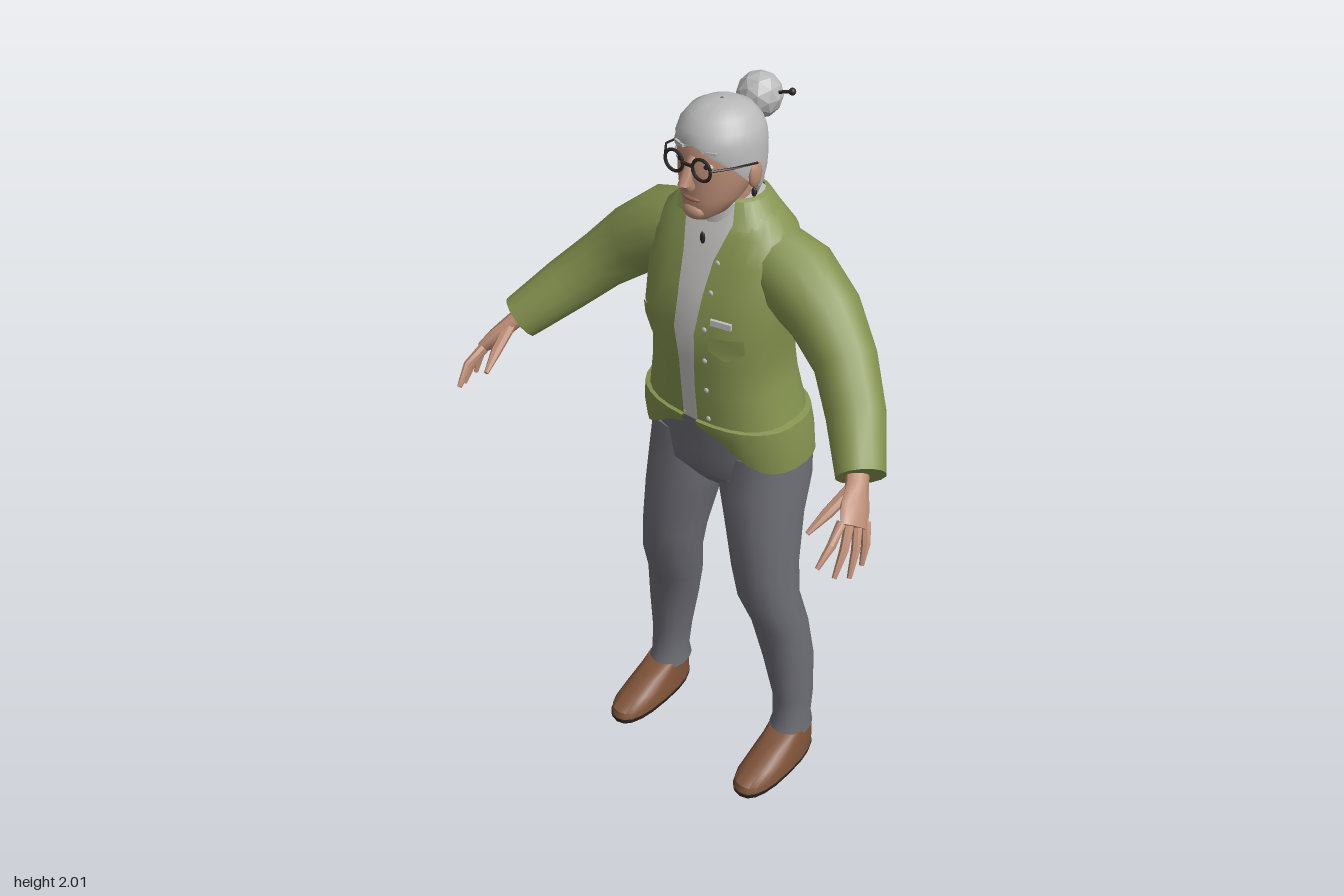
import * as THREE from 'three';
import { toCreasedNormals } from 'three/addons/utils/BufferGeometryUtils.js';

const V = (x, y, z) => new THREE.Vector3(x, y, z);

// Joins rows of points into a surface with softened edges
function skin(rows, crease = 0.6) {
  const n = rows[0].length, index = [];
  for (let i = 0; i < rows.length - 1; i++)
    for (let j = 0; j < n - 1; j++) {
      const a = i * n + j, d = a + n;
      index.push(a, a + 1, d + 1, a, d + 1, d);
    }
  const g = new THREE.BufferGeometry().setFromPoints(rows.flat());
  g.setIndex(index);
  return toCreasedNormals(g, crease);
}

// Level rings [y, centreX, centreZ, radiusX, radiusZ, frontOpeningAngle]
function loft(rings, { n = 20, p = 2, cap = true, crease = 0.6, lift = () => 0 } = {}) {
  const list = [...rings].sort((a, b) => a[0] - b[0]);
  if (cap) {
    const close = ([y, x, z]) => [y, x, z, 0, 0];
    list.unshift(close(list[0]));
    list.push(close(list[list.length - 1]));
  }
  const pow = (v) => Math.sign(v) * Math.abs(v) ** (2 / p);
  return skin(list.map(([y, cx, cz, rx, rz, open = 0], i) =>
    Array.from({ length: n + 1 }, (_, j) => {
      const t = open + (2 * (Math.PI - open) * j) / n;
      return V(cx + rx * pow(Math.sin(t)), y + lift(t, i), cz + rz * pow(Math.cos(t)));
    })), crease);
}

// Limb through points [x, y, z, radius along z, radius across]
function limb(points, n = 10, crease = 0.7) {
  const pts = points.map(([x, y, z]) => V(x, y, z)), last = pts.length - 1;
  const rows = pts.map((c, i) => {
    const t = pts[Math.min(i + 1, last)].clone().sub(pts[Math.max(i - 1, 0)]).normalize();
    const N = V(0, 0, 1).addScaledVector(t, -t.z).normalize(), B = t.clone().cross(N);
    const [, , , rn, rb = rn] = points[i];
    return Array.from({ length: n + 1 }, (_, j) => {
      const a = (2 * Math.PI * j) / n;
      return c.clone().addScaledVector(N, rn * Math.cos(a)).addScaledVector(B, rb * Math.sin(a));
    });
  });
  rows.unshift(rows[0].map(() => pts[0].clone()));
  rows.push(rows[0].map(() => pts[last].clone()));
  return skin(rows, crease);
}

const JACKET = [
  [1.17, 0, -0.115, 0.212, 0.148, 0.06], [1.28, 0, -0.102, 0.185, 0.147, 0.07],
  [1.35, 0, -0.096, 0.178, 0.146, 0.08], [1.45, 0, -0.09, 0.195, 0.15, 0.1],
  [1.55, 0, -0.104, 0.2, 0.137, 0.12], [1.63, 0, -0.115, 0.195, 0.12, 0.16],
  [1.69, 0, -0.123, 0.172, 0.102, 0.28], [1.73, 0, -0.125, 0.128, 0.082, 0.5],
  [1.76, 0, -0.122, 0.09, 0.068, 0.73]];

// Depth of the jacket front at a given place
function frontZ(x, y) {
  const i = Math.max(1, JACKET.findIndex((r) => r[0] >= y));
  const a = JACKET[i - 1], b = JACKET[i], k = (y - a[0]) / (b[0] - a[0]);
  const [cz, rx, rz] = [2, 3, 4].map((m) => a[m] + (b[m] - a[m]) * k);
  return cz + rz * (1 - Math.abs(x / rx) ** 2.5) ** 0.4;
}

export function createModel() {
  const model = new THREE.Group();
  model.name = 'elderWoman';
  const mat = (name, color, extra = {}) => {
    const m = new THREE.MeshStandardMaterial({ color, ...extra });
    m.name = name;
    return m;
  };
  const green = mat('oliveJacket', 0x84924f, { side: THREE.DoubleSide });
  const grey = mat('greyTrousers', 0x6c6c74);
  const skinTone = mat('skin', 0xba8c75);
  const silver = mat('silverHair', 0xb9b9b9, { side: THREE.DoubleSide });
  const white = mat('paleShirt', 0xc2c1be);
  const brown = mat('brownLeather', 0x7f5338);
  const dark = mat('darkTrim', 0x2c2624);
  const lip = mat('lips', 0x95604f);
  const add = (name, geometry, material, x = 0, y = 0, z = 0) => {
    const m = new THREE.Mesh(geometry, material);
    m.name = name;
    m.position.set(x, y, z);
    model.add(m);
    return m;
  };
  const ball = (r, sx, sy, sz) => new THREE.SphereGeometry(r, 12, 8).scale(sx, sy, sz);

  // Jacket body, hem band, collar and shirt
  add('jacketBody', loft(JACKET, { n: 28, p: 2.5, cap: false }), green);
  add('jacketHem', loft([[1.05, 0, -0.13, 0.236, 0.155, 0.06], [1.12, 0, -0.12, 0.234, 0.16, 0.06],
    [1.18, 0, -0.114, 0.225, 0.157, 0.06], [1.185, 0, -0.114, 0.205, 0.14, 0.06]],
  { n: 32, p: 2.4, cap: false, lift: (t, i) => [0.1, 0.048, 0, 0][i] * Math.max(0, Math.cos(t)) ** 6 }), green);
  add('jacketCollar', loft([[1.705, 0, -0.123, 0.15, 0.1, 0.45], [1.765, 0, -0.12, 0.098, 0.075, 0.6],
    [1.77, 0, -0.118, 0.085, 0.066, 0.65]], { cap: false, p: 2.3 }), green);
  add('shirt', loft(JACKET.map(([y, x, z, rx, rz]) => [y, x, z, rx * 0.95, rz * 0.95]), { n: 28, p: 2.5 }), white);
  add('shirtCollar', loft([[1.66, 0, -0.113, 0.085, 0.082], [1.72, 0, -0.105, 0.077, 0.071],
    [1.757, 0, -0.1, 0.07, 0.066]]), white);
  add('pendant', ball(0.01, 0.7, 1.6, 0.5), dark, 0, 1.67, -0.012);

  // Buttons, chest flaps and badge
  for (const y of [1.2, 1.29, 1.38, 1.47, 1.56, 1.63])
    add('button', ball(0.007, 1, 1, 0.5), white, 0.058, y, frontZ(0.058, y) + 0.002);
  for (const s of [1, -1]) {
    const flap = new THREE.ShapeGeometry(new THREE.Shape([[0.075, 1.46], [0.075, 1.42], [0.115, 1.395],
      [0.155, 1.42], [0.155, 1.46], [0.115, 1.46]].map(([x, y]) => new THREE.Vector2(s * x, y))));
    const p = flap.attributes.position;
    for (let i = 0; i < p.count; i++) p.setZ(i, frontZ(p.getX(i), p.getY(i)) + 0.009);
    flap.computeVertexNormals();
    add('pocketFlap', flap, green);
  }
  add('badge', new THREE.BoxGeometry(0.055, 0.016, 0.008), white, 0.1, 1.495, frontZ(0.1, 1.495) + 0.006)
    .rotation.y = 0.2;

  // Trouser seat
  add('trouserSeat', loft([[1.19, 0, -0.115, 0.18, 0.125], [1.05, 0, -0.135, 0.222, 0.136],
    [0.99, 0, -0.134, 0.223, 0.133], [0.94, 0, -0.125, 0.1, 0.09]], { p: 2.4 }), grey);

  for (const s of [1, -1]) {
    const at = (points) => points.map(([x, ...rest]) => [x * s, ...rest]);
    const rings = (list) => list.map(([y, x, ...rest]) => [y, x * s, ...rest]);

    // Trouser leg
    add('trouserLeg', loft(rings([[1.07, 0.115, -0.138, 0.105, 0.128], [0.95, 0.118, -0.128, 0.113, 0.128],
      [0.85, 0.135, -0.105, 0.097, 0.111], [0.7, 0.155, -0.088, 0.088, 0.089],
      [0.6, 0.168, -0.09, 0.083, 0.081], [0.49, 0.186, -0.122, 0.08, 0.071],
      [0.36, 0.206, -0.14, 0.067, 0.072], [0.22, 0.222, -0.148, 0.053, 0.061],
      [0.14, 0.225, -0.142, 0.049, 0.06], [0.1, 0.225, -0.138, 0.056, 0.071]]), { n: 16, p: 2.2 }), grey);

    // Shoe and sole
    add('shoe', loft(rings([[0.015, 0.23, -0.052, 0.061, 0.155], [0.035, 0.23, -0.055, 0.061, 0.152],
      [0.06, 0.23, -0.08, 0.057, 0.127], [0.085, 0.229, -0.11, 0.053, 0.095],
      [0.115, 0.227, -0.137, 0.05, 0.068]]), { p: 2.5, crease: 0.8 }), brown);
    add('sole', loft(rings([[0, 0.23, -0.052, 0.059, 0.155], [0.015, 0.23, -0.052, 0.063, 0.158]]), { p: 2.5 }), dark);

    // Sleeve with cuff
    add('sleeve', limb(at([[0.09, 1.63, -0.125, 0.085], [0.2, 1.585, -0.122, 0.102],
      [0.29, 1.522, -0.112, 0.092], [0.375, 1.445, -0.08, 0.078], [0.455, 1.365, -0.015, 0.072],
      [0.538, 1.278, 0.075, 0.06]]), 14), green);

    // Hand: palm, fingers, thumb
    add('palm', limb(at([[0.515, 1.305, 0.055, 0.03, 0.025], [0.545, 1.272, 0.1, 0.03, 0.022],
      [0.568, 1.24, 0.138, 0.043, 0.02], [0.588, 1.212, 0.168, 0.042, 0.015]])), skinTone);
    const tips = [[0.57, 1.155, 0.282], [0.6, 1.125, 0.255], [0.618, 1.112, 0.22], [0.62, 1.122, 0.175]];
    tips.forEach(([x, y, z], i) => {
      const o = (i - 1.5) * 0.023, b = [0.582 + 0.4 * o, 1.22 - 0.28 * o, 0.16 - 0.87 * o];
      const m = [(b[0] + x) / 2 + 0.008, (b[1] + y) / 2 + 0.006, (b[2] + z) / 2 + 0.004];
      add('finger', limb(at([[...b, 0.012], [...m, 0.011], [x, y, z, 0.006]]), 7), skinTone);
    });
    add('thumb', limb(at([[0.54, 1.27, 0.115, 0.016], [0.525, 1.233, 0.185, 0.014],
      [0.51, 1.2, 0.24, 0.006]]), 7), skinTone);

    // Ear, earring, eye, brow and spectacles
    add('ear', ball(0.03, 0.4, 1.15, 0.75), skinTone, s * 0.102, 1.845, -0.075);
    add('earring', ball(0.008, 0.8, 1.5, 0.8), dark, s * 0.106, 1.803, -0.068);
    add('eye', ball(0.013, 1.2, 0.6, 0.6), white, s * 0.038, 1.879, 0.017);
    add('pupil', ball(0.006, 1, 1, 0.5), dark, s * 0.038, 1.879, 0.024);
    add('eyebrow', new THREE.BoxGeometry(0.036, 0.006, 0.012), silver, s * 0.042, 1.913, 0.016).rotation.y = s * 0.35;
    add('lensFrame', new THREE.TorusGeometry(0.026, 0.0042, 6, 18), dark, s * 0.04, 1.88, 0.042);
    add('glassesArm', limb(at([[0.066, 1.885, 0.042, 0.003], [0.098, 1.887, 0, 0.003],
      [0.109, 1.875, -0.075, 0.003]]), 5), dark);
  }
  add('glassesBridge', new THREE.BoxGeometry(0.03, 0.006, 0.006), dark, 0, 1.884, 0.045);

  // Head, neck and face
  add('neck', loft([[1.68, 0, -0.11, 0.06, 0.06], [1.8, 0, -0.09, 0.06, 0.065]]), skinTone);
  add('head', loft([[1.735, 0, -0.004, 0.025, 0.025], [1.75, 0, -0.03, 0.05, 0.06],
    [1.79, 0, -0.052, 0.076, 0.083], [1.84, 0, -0.07, 0.089, 0.102], [1.89, 0, -0.075, 0.094, 0.104],
    [1.94, 0, -0.08, 0.088, 0.095], [1.97, 0, -0.08, 0.06, 0.06]], { n: 24, crease: 1 }), skinTone);
  add('nose', limb([[0, 1.895, 0.022, 0.01], [0, 1.86, 0.042, 0.012, 0.012], [0, 1.838, 0.05, 0.019, 0.018],
    [0, 1.823, 0.037, 0.014, 0.016]], 8, 1), skinTone);
  add('lips', ball(0.026, 1, 0.25, 0.42), lip, 0, 1.791, 0.026);
  add('chin', ball(0.03, 1, 0.7, 0.6), skinTone, 0, 1.757, 0.019);

  // Hair cap, bun and pin
  add('hair', loft([[2, 0, -0.08, 0.004, 0.004], [1.994, 0, -0.08, 0.042, 0.046], [1.977, 0, -0.08, 0.073, 0.079],
    [1.95, 0, -0.08, 0.094, 0.101], [1.925, 0, -0.08, 0.102, 0.111], [1.903, 0, -0.08, 0.105, 0.113, 0.5],
    [1.87, 0, -0.08, 0.106, 0.112, 0.98], [1.835, 0, -0.081, 0.104, 0.108, 1.3],
    [1.8, 0, -0.086, 0.097, 0.095, 1.75], [1.77, 0, -0.093, 0.083, 0.077, 1.95],
    [1.74, 0, -0.1, 0.066, 0.058, 2.15]], { n: 28, cap: false, crease: 1.2 }), silver);
  add('hairBun', toCreasedNormals(new THREE.IcosahedronGeometry(0.056, 1), 0.1), silver, 0, 1.957, -0.222);
  add('hairPin', limb([[0.02, 1.965, -0.225, 0.004], [0.083, 1.982, -0.235, 0.004]], 6), dark);
  add('hairPinEnd', ball(0.009, 1, 1, 1), dark, 0.083, 1.982, -0.235);
  return model;
}
